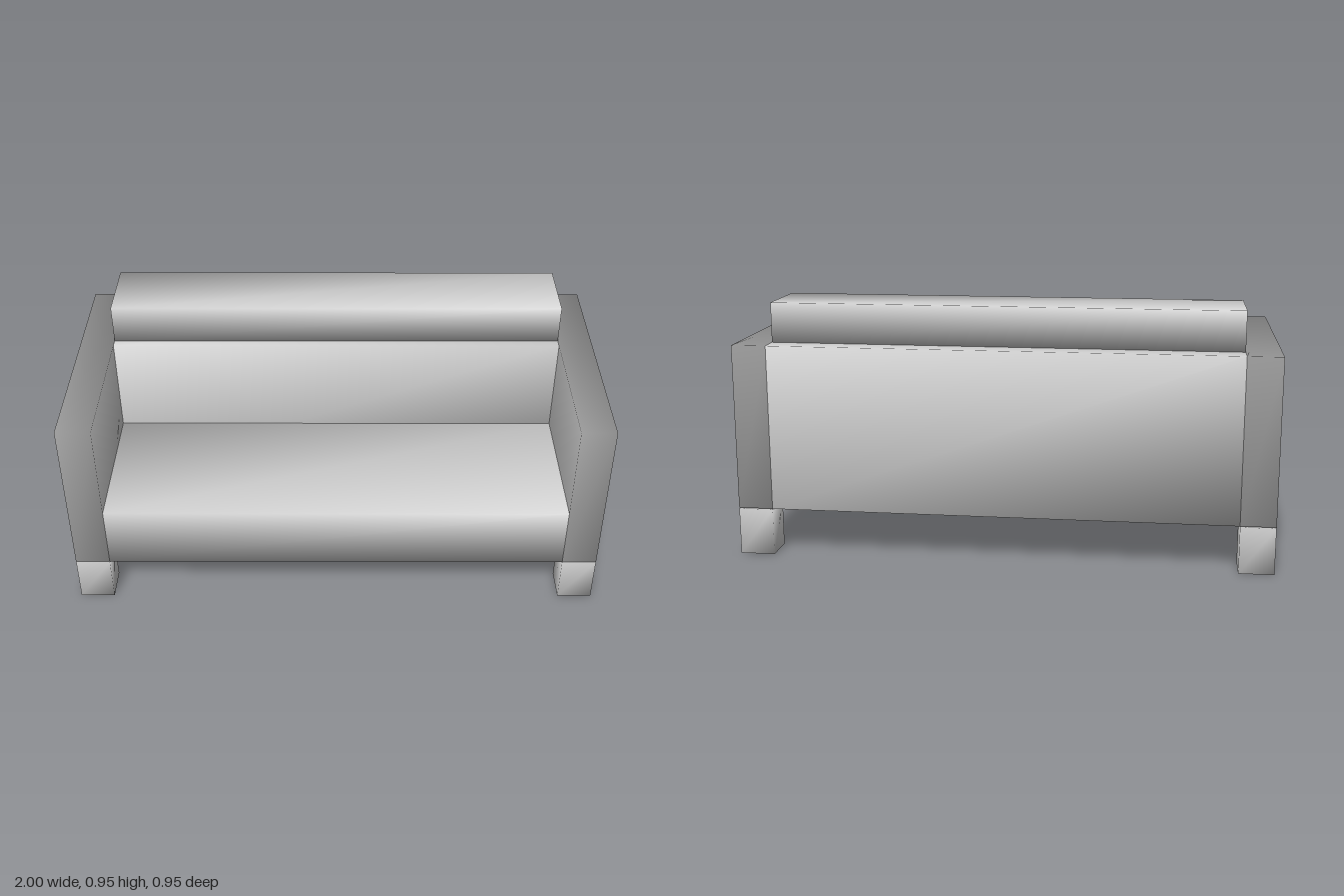
import * as THREE from 'three';
import { mergeVertices } from 'three/addons/utils/BufferGeometryUtils.js';

const material = new THREE.MeshStandardMaterial({ color: 0xcccccc });

// Block between two corners, with normals shared across its edges for a soft look
function block(name, [x0, y0, z0], [x1, y1, z1]) {
  const box = new THREE.BoxGeometry(x1 - x0, y1 - y0, z1 - z0);
  box.deleteAttribute('normal');
  box.deleteAttribute('uv');
  const geometry = mergeVertices(box);
  geometry.computeVertexNormals();
  const mesh = new THREE.Mesh(geometry, material);
  mesh.name = name;
  mesh.position.set((x0 + x1) / 2, (y0 + y1) / 2, (z0 + z1) / 2);
  return mesh;
}

export function createModel() {
  const sofa = new THREE.Group();
  sofa.name = 'sofa';

  const inner = 0.87;   // inside face of the arms
  const depth = 0.475;  // half the depth
  const base = 0.18;    // underside of the body
  const armTop = 0.803;
  const backFront = -0.085;

  // Seat, backrest and the bolster lying on top of the backrest
  sofa.add(
    block('seat', [-inner, base, backFront], [inner, 0.425, depth]),
    block('backrest', [-inner, base, -depth], [inner, armTop, backFront]),
    block('bolster', [-inner, armTop, -0.394], [inner, 0.952, -0.12])
  );

  // Arms, each with a front and a back leg
  for (const [side, x0, x1] of [['left', inner, 1], ['right', -1, -inner]]) {
    sofa.add(
      block(`${side}Arm`, [x0, base, -depth], [x1, armTop, depth]),
      block(`${side}FrontLeg`, [x0, 0, 0.35], [x1, 0.176, depth]),
      block(`${side}BackLeg`, [x0, 0, -depth], [x1, 0.176, -0.35])
    );
  }

  return sofa;
}
